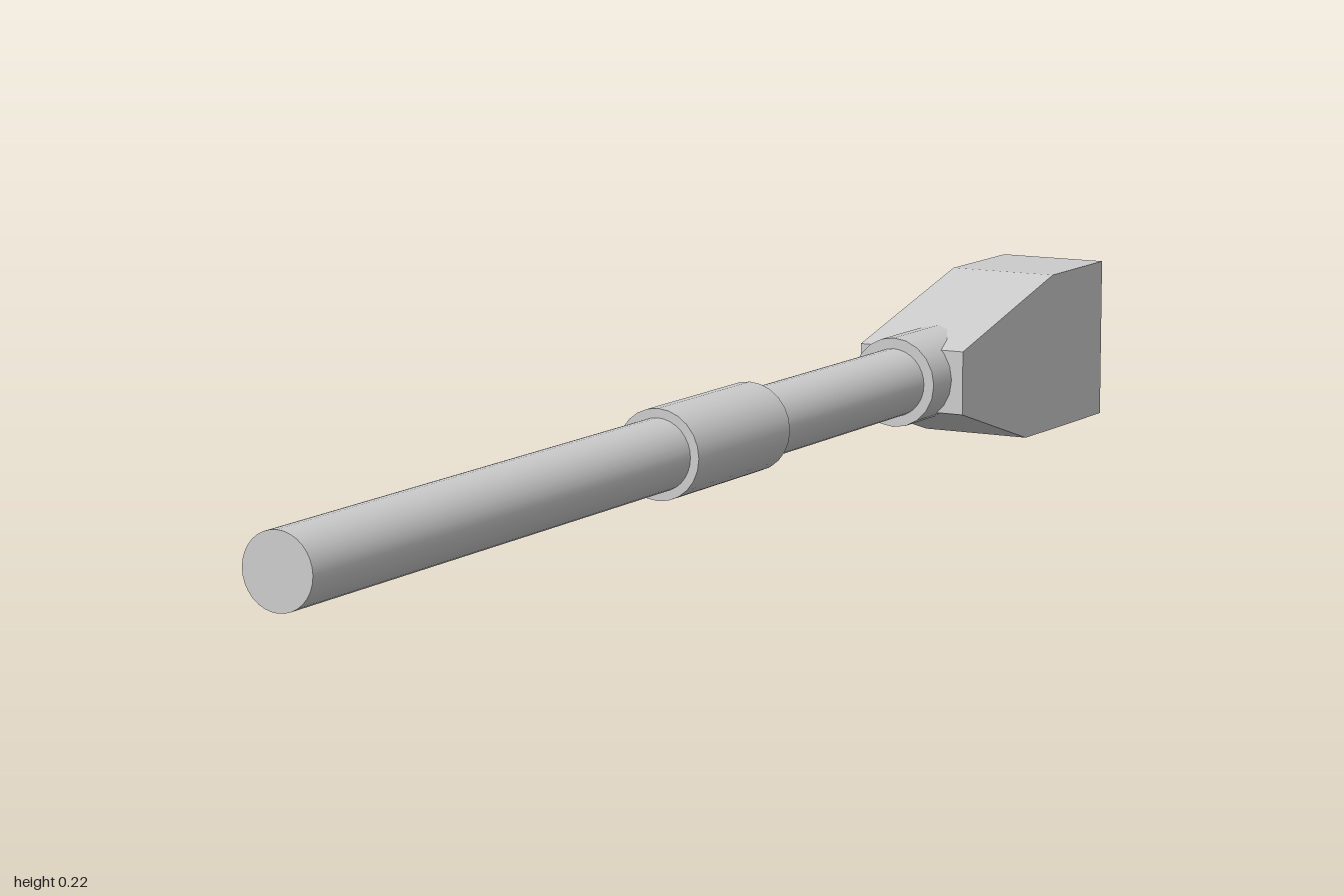
import * as THREE from 'three';

const AXIS_Y = 0.112;

export function createModel() {
  const model = new THREE.Group();
  const material = new THREE.MeshStandardMaterial({ color: 0xcccccc });

  // Round part lying along z between two positions
  function rod(name, radius, zFront, zBack, sides) {
    const geometry = new THREE.CylinderGeometry(radius, radius, zFront - zBack, sides);
    geometry.rotateX(Math.PI / 2);
    const mesh = new THREE.Mesh(geometry, material);
    mesh.name = name;
    mesh.position.set(0, AXIS_Y, (zFront + zBack) / 2);
    model.add(mesh);
  }

  rod('shaft', 0.047, 1, -0.56, 32);
  rod('middleSleeve', 0.059, 0.165, -0.075, 24);
  rod('housingCollar', 0.062, -0.485, -0.64, 20);

  // Tapered housing: rectangular sections [z, bottom, top], open at the back
  const halfWidth = 0.079;
  const sections = [
    [-0.54, 0.065, 0.153],
    [-0.745, 0.002, 0.204],
    [-0.83, 0.001, 0.225],
    [-1, 0, 0.225],
  ];
  const loops = sections.map(([z, low, high]) => [
    [-halfWidth, low, z], [halfWidth, low, z],
    [halfWidth, high, z], [-halfWidth, high, z],
  ]);
  const positions = [];
  const quad = (a, b, c, d) => positions.push(...a, ...b, ...c, ...a, ...c, ...d);
  quad(...loops[0]);
  for (let i = 0; i < loops.length - 1; i++) {
    for (let j = 0; j < 4; j++) {
      const k = (j + 1) % 4;
      quad(loops[i][j], loops[i + 1][j], loops[i + 1][k], loops[i][k]);
    }
  }
  const geometry = new THREE.BufferGeometry();
  geometry.setAttribute('position', new THREE.Float32BufferAttribute(positions, 3));
  geometry.computeVertexNormals();
  const housing = new THREE.Mesh(geometry, new THREE.MeshStandardMaterial({
    color: 0xcccccc, flatShading: true, side: THREE.DoubleSide,
  }));
  housing.name = 'housing';
  model.add(housing);

  return model;
}
